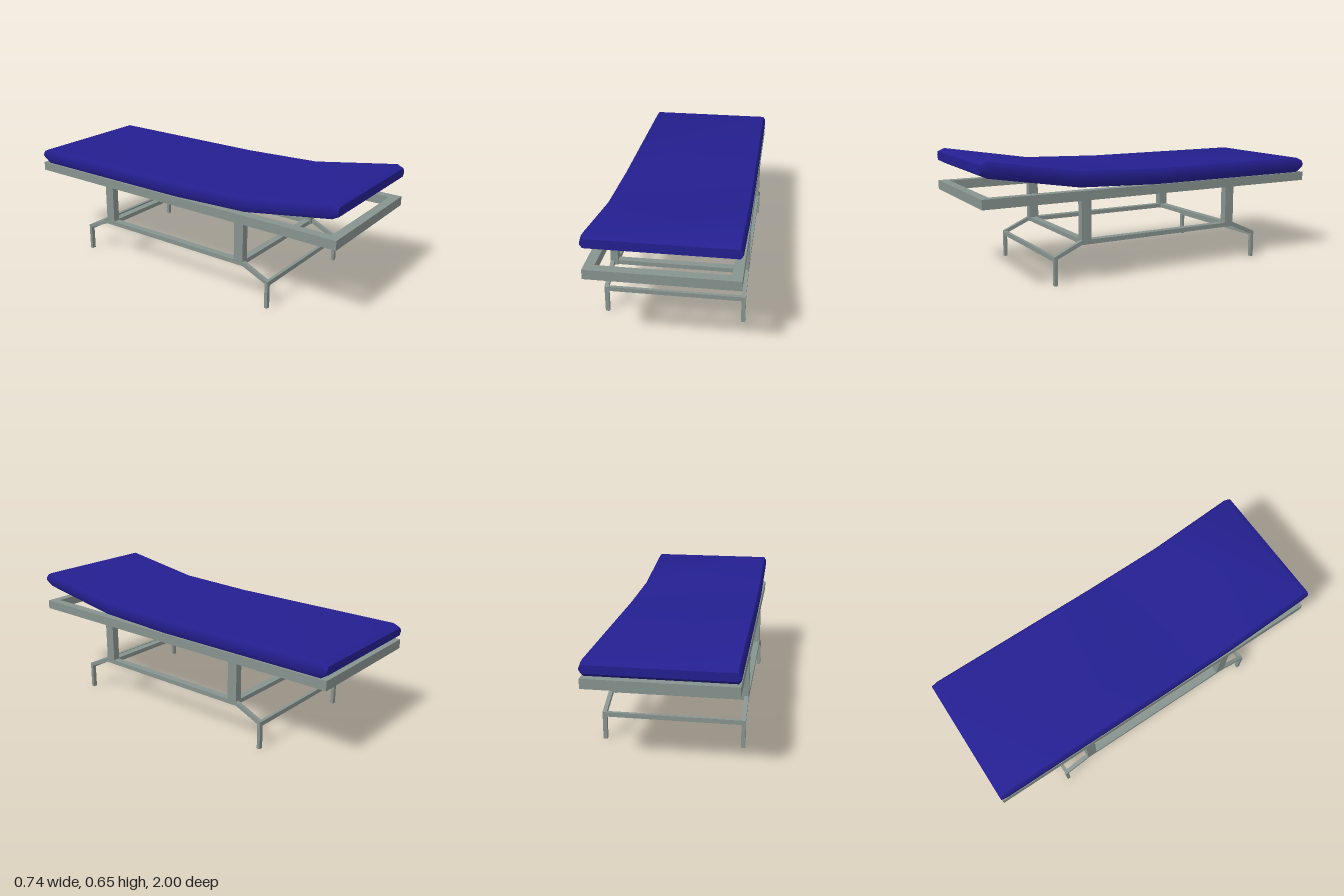
import * as THREE from 'three';
import { toCreasedNormals } from 'three/addons/utils/BufferGeometryUtils.js';

const steel = new THREE.MeshStandardMaterial({ color: 0x87938f });
const vinyl = new THREE.MeshStandardMaterial({ color: 0x241f90 });
const HALF_W = 0.37;

// Padded top: chamfered cross-sections lofted along the length
function cushionGeometry() {
  // z, underside height, top height
  const stations = [
    [-1, 0.5, 0.542], [-0.96, 0.475, 0.56], [0.03, 0.475, 0.56],
    [0.48, 0.492, 0.575], [0.965, 0.571, 0.653], [1, 0.59, 0.637],
  ];
  const inset = 0.012, drop = 0.018, n = 8;
  const pos = [], index = [];
  for (const [z, lo, hi] of stations) {
    const w = HALF_W, v = w - inset;
    const ring = [
      [-v, lo], [v, lo], [w, lo + drop], [w, hi - drop],
      [v, hi], [-v, hi], [-w, hi - drop], [-w, lo + drop],
    ];
    for (const [x, y] of ring) pos.push(x, y, z);
  }
  const last = (stations.length - 1) * n;
  for (let s = 0; s < last; s += n) {
    for (let i = 0; i < n; i++) {
      const a = s + i, b = s + (i + 1) % n;
      index.push(a, b, b + n, a, b + n, a + n);
    }
  }
  for (let i = 1; i < n - 1; i++) {
    index.push(last, last + i, last + i + 1); // front end
    index.push(0, i + 1, i);                  // back end
  }
  const g = new THREE.BufferGeometry();
  g.setAttribute('position', new THREE.Float32BufferAttribute(pos, 3));
  g.setIndex(index);
  return toCreasedNormals(g, 0.7);
}

// Bent leg: sloping arm and vertical foot, drawn in the z-y plane
function legGeometry() {
  const shape = new THREE.Shape([
    [0.475, 0.222], [0.635, 0.15], [0.635, 0], [0.617, 0], [0.617, 0.137], [0.475, 0.199],
  ].map(([z, y]) => new THREE.Vector2(z, y)));
  const g = new THREE.ExtrudeGeometry(shape, { depth: 0.022, bevelEnabled: false });
  g.translate(0, 0, -0.011);
  g.rotateY(-Math.PI / 2);
  return g;
}

export function createModel() {
  const model = new THREE.Group();
  model.name = 'treatmentCouch';

  const add = (name, geometry, material, x = 0, y = 0, z = 0) => {
    const mesh = new THREE.Mesh(geometry, material);
    mesh.name = name;
    mesh.position.set(x, y, z);
    model.add(mesh);
    return mesh;
  };
  const bar = (name, w, h, d, x, y, z) =>
    add(name, new THREE.BoxGeometry(w, h, d), steel, x, y, z);

  add('cushion', cushionGeometry(), vinyl);

  const leg = legGeometry();
  for (const s of [-1, 1]) {
    const side = s > 0 ? 'left' : 'right';
    const end = s > 0 ? 'front' : 'back';

    // Upper frame
    bar(`${side}FrameRail`, 0.05, 0.05, 2, s * 0.345, 0.45, 0);
    bar(`${end}FrameRail`, 0.64, 0.05, 0.05, 0, 0.45, s * 0.975);

    // Lower frame
    bar(`${side}LowerRail`, 0.04, 0.024, 0.85, s * 0.35, 0.208, 0);
    bar(`${end}LowerRail`, 0.66, 0.024, 0.04, 0, 0.208, s * 0.455);

    // Bar between the feet
    bar(`${end}FootBar`, 0.696, 0.024, 0.018, 0, 0.138, s * 0.626);

    // Posts and bent legs
    for (const e of [-1, 1]) {
      const corner = `${side}${e > 0 ? 'Front' : 'Back'}`;
      bar(`${corner}Post`, 0.04, 0.229, 0.055, s * 0.35, 0.3105, e * 0.4525);
      const mesh = add(`${corner}Leg`, leg, steel, s * 0.359);
      if (e < 0) mesh.rotation.y = Math.PI;
    }
  }
  return model;
}
